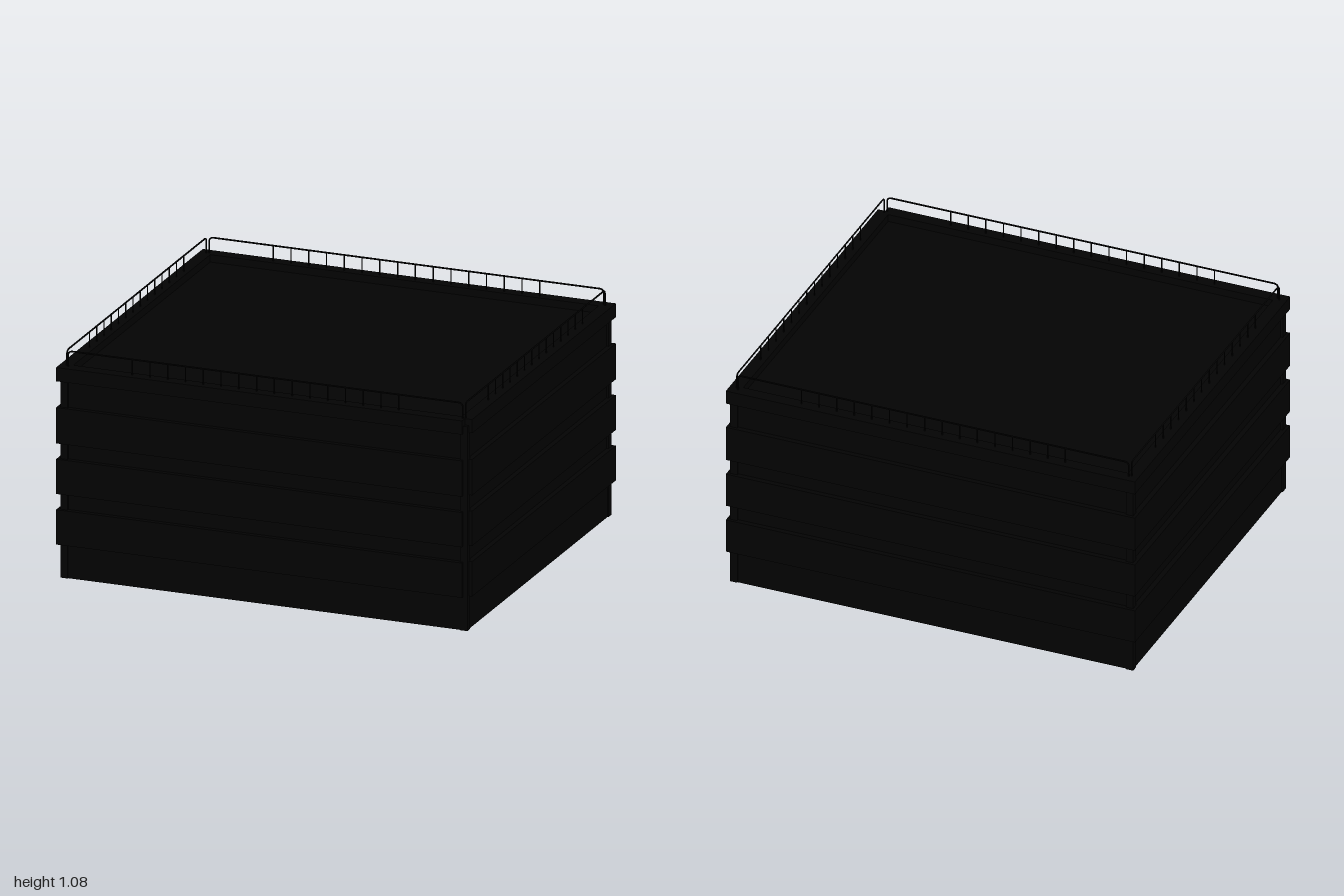
import * as THREE from 'three';

const dark = new THREE.MeshStandardMaterial({ color: 0x030303 });

// Rectangular ring of wall between two heights, optionally notched at the +x +z corner
function ring(name, hx, hz, thickness, y0, y1, notch = 0) {
  const s = new THREE.Shape();
  s.moveTo(-hx, -hz);
  if (notch) {
    s.lineTo(hx - notch, -hz);
    s.lineTo(hx - notch, -hz + notch);
    s.lineTo(hx, -hz + notch);
  } else s.lineTo(hx, -hz);
  s.lineTo(hx, hz);
  s.lineTo(-hx, hz);
  s.closePath();
  const ix = hx - thickness, iz = hz - thickness;
  const hole = new THREE.Path();
  hole.moveTo(-ix, -iz);
  hole.lineTo(-ix, iz);
  hole.lineTo(ix, iz);
  hole.lineTo(ix, -iz);
  hole.closePath();
  s.holes.push(hole);
  const geo = new THREE.ExtrudeGeometry(s, { depth: y1 - y0, bevelEnabled: false });
  geo.rotateX(-Math.PI / 2);
  geo.translate(0, y0, 0);
  const m = new THREE.Mesh(geo, dark);
  m.name = name;
  return m;
}

function box(name, w, h, d, x, y, z) {
  const m = new THREE.Mesh(new THREE.BoxGeometry(w, h, d), dark);
  m.position.set(x, y, z);
  m.name = name;
  return m;
}

// One railing along x: bent handrail with both ends turned down, plus balusters
function railing(half, count, pitch) {
  const g = new THREE.Group();
  g.name = 'railing';
  const top = 1.073, r = 0.02, base = 0.99;
  const v = (x, y) => new THREE.Vector3(x, y, 0);
  const path = new THREE.CurvePath();
  path.add(new THREE.LineCurve3(v(-half, base), v(-half, top - r)));
  path.add(new THREE.QuadraticBezierCurve3(v(-half, top - r), v(-half, top), v(-half + r, top)));
  path.add(new THREE.LineCurve3(v(-half + r, top), v(half - r, top)));
  path.add(new THREE.QuadraticBezierCurve3(v(half - r, top), v(half, top), v(half, top - r)));
  path.add(new THREE.LineCurve3(v(half, top - r), v(half, base)));
  const rail = new THREE.Mesh(new THREE.TubeGeometry(path, 240, 0.004, 6), dark);
  rail.name = 'handrail';
  g.add(rail);
  const rod = new THREE.CylinderGeometry(0.003, 0.003, top - base, 6);
  for (let i = 0; i < count; i++) {
    const b = new THREE.Mesh(rod, dark);
    b.name = 'baluster';
    b.position.set((i - (count - 1) / 2) * pitch, (top + base) / 2, 0);
    g.add(b);
  }
  return g;
}

export function createModel() {
  const model = new THREE.Group();
  model.name = 'building';

  // Base wall and recessed strips between the bands
  model.add(ring('baseWall', 0.98, 0.86, 0.04, 0, 0.16));
  for (const [y0, y1] of [[0.325, 0.4], [0.565, 0.64], [0.81, 0.935]])
    model.add(ring('recessedStrip', 0.975, 0.855, 0.015, y0, y1));

  // Projecting storey bands and parapet
  for (const [y0, y1] of [[0.16, 0.325], [0.4, 0.565], [0.64, 0.81]])
    model.add(ring('storeyBand', 1, 0.88, 0.06, y0, y1, 0.035));
  model.add(ring('parapet', 1, 0.88, 0.06, 0.935, 1, 0.035));

  // Corner posts
  for (const sx of [-1, 1])
    for (const sz of [-1, 1])
      model.add(box('cornerPost', 0.035, 0.97, 0.035, sx * 0.9675, 0.485, sz * 0.8475));

  // Sunken roof
  model.add(box('roof', 1.9, 0.02, 1.66, 0, 0.955, 0));

  // Railings on the four edges
  for (const s of [-1, 1]) {
    const front = railing(0.955, 16, 0.086);
    front.position.z = s * 0.845;
    model.add(front);
    const side = railing(0.835, 14, 0.087);
    side.rotation.y = Math.PI / 2;
    side.position.x = s * 0.965;
    model.add(side);
  }
  return model;
}
